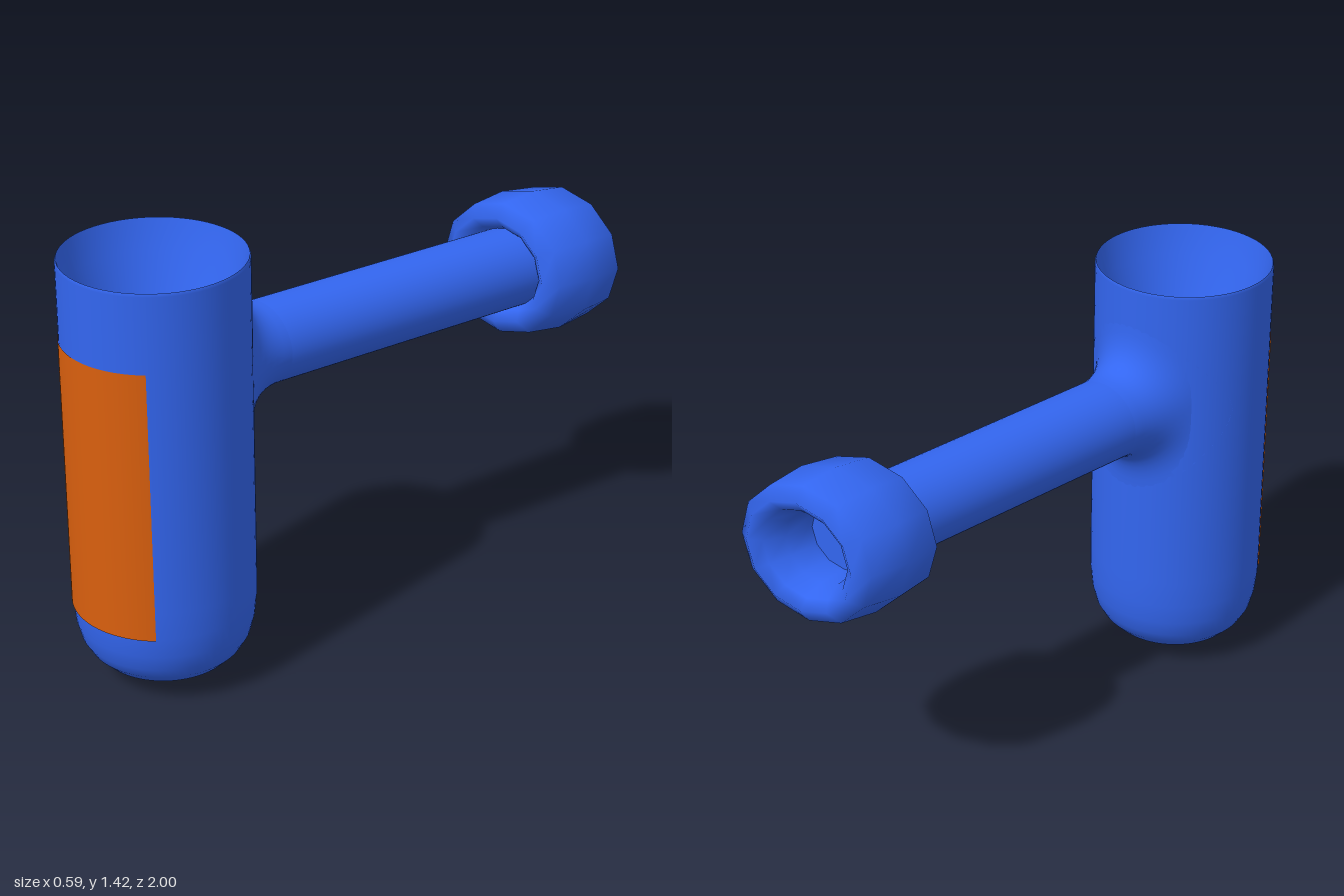
import * as THREE from 'three';
import { mergeVertices } from 'three/addons/utils/BufferGeometryUtils.js';

const BODY_Z = 0.708, BODY_R = 0.29;
const PIPE_X = -0.05, PIPE_Y = 1.0, PIPE_R = 0.135;

const blue = new THREE.MeshStandardMaterial({ color: 0x3366f0, side: THREE.DoubleSide });
const orange = new THREE.MeshStandardMaterial({ color: 0xd95f0e, side: THREE.DoubleSide });

const vectors = (pairs) => pairs.map(([x, y]) => new THREE.Vector2(x, y));

function addPart(group, name, geometry, material, x = 0, y = 0, z = 0) {
  const mesh = new THREE.Mesh(geometry, material);
  mesh.name = name;
  mesh.position.set(x, y, z);
  group.add(mesh);
  return mesh;
}

// Weld the vertices so that normals run smoothly across seams
function smooth(geometry) {
  geometry.deleteAttribute('uv');
  geometry.deleteAttribute('normal');
  const welded = mergeVertices(geometry, 1e-4);
  welded.computeVertexNormals();
  return welded;
}

// z of the pipe's slanted front end at a given x
const pipeFront = (x) => 0.29 - 0.15 * (x - PIPE_X);

// Flared collar blending the round pipe into the upright cylinder
function collarGeometry(around = 48, along = 10) {
  const positions = [], index = [];
  for (let i = 0; i < around; i++) {
    const a = (i / around) * Math.PI * 2, c = Math.cos(a), s = Math.sin(a);
    const onBody = (x) => BODY_Z - Math.sqrt(Math.max(0, BODY_R ** 2 - x * x));
    const px = PIPE_X + PIPE_R * c, py = PIPE_Y + PIPE_R * s;
    const bx = -0.04 + 0.245 * c, by = PIPE_Y + 0.29 * s;
    const curve = new THREE.QuadraticBezierCurve3(
      new THREE.Vector3(px, py, pipeFront(px)),
      new THREE.Vector3(px, py, onBody(px) - 0.005),
      new THREE.Vector3(bx, by, onBody(bx))
    );
    for (let j = 0; j <= along; j++) positions.push(...curve.getPoint(j / along).toArray());
  }
  const row = along + 1;
  for (let i = 0; i < around; i++) {
    for (let j = 0; j < along; j++) {
      const a = i * row + j, b = ((i + 1) % around) * row + j;
      index.push(a, a + 1, b, b, a + 1, b + 1);
    }
  }
  const geometry = new THREE.BufferGeometry();
  geometry.setAttribute('position', new THREE.Float32BufferAttribute(positions, 3));
  geometry.setIndex(index);
  geometry.computeVertexNormals();
  return geometry;
}

// Thick ring on the pipe's end, sheared so that it sits at a slant
function ringGeometry() {
  const profile = vectors([
    [0.185, -0.155], [0.23, -0.125], [0.245, 0], [0.23, 0.125], [0.185, 0.155],
    [0.15, 0.13], [0.12, 0.075], [0.11, 0], [0.12, -0.075], [0.15, -0.13], [0.185, -0.155],
  ]);
  const geometry = new THREE.LatheGeometry(profile, 12).rotateX(Math.PI / 2);
  const p = geometry.attributes.position;
  for (let i = 0; i < p.count; i++) p.setZ(i, p.getZ(i) - 0.257 * p.getX(i));
  return smooth(geometry);
}

// Pipe with its front end cut along the collar's slant
function pipeGeometry(back = -0.78) {
  const geometry = new THREE.CylinderGeometry(PIPE_R, PIPE_R, 1, 48).rotateX(Math.PI / 2);
  const p = geometry.attributes.position;
  for (let i = 0; i < p.count; i++) {
    const x = p.getX(i);
    p.setZ(i, p.getZ(i) > 0 ? pipeFront(x + PIPE_X) : back - 0.257 * x);
  }
  return geometry;
}

export function createModel() {
  const model = new THREE.Group();
  model.name = 'hammerShapedVessel';

  // Upright vessel: rounded base, straight wall
  const outer = vectors([
    [0, 0.003], [0.06, 0.012], [0.12, 0.026], [0.17, 0.045], [0.21, 0.07], [0.245, 0.105],
    [0.268, 0.145], [0.282, 0.2], [0.289, 0.27], [BODY_R, 0.36], [BODY_R, 1.41], [0.286, 1.42],
  ]);
  addPart(model, 'vesselBody', new THREE.LatheGeometry(outer, 64), blue, 0, 0, BODY_Z);

  // Funnel inside the mouth, ending in a small blind hole
  const funnel = vectors([[0.286, 1.42], [0.262, 1.32], [0.16, 1.02], [0.05, 0.8]]);
  addPart(model, 'vesselFunnel', new THREE.LatheGeometry(funnel, 64), blue, 0, 0, BODY_Z);
  const drain = new THREE.CylinderGeometry(0.05, 0.05, 0.1, 32, 1, true);
  addPart(model, 'funnelDrain', drain, blue, 0, 0.75, BODY_Z);
  const floor = new THREE.CircleGeometry(0.05, 32).rotateX(-Math.PI / 2);
  addPart(model, 'drainFloor', floor, blue, 0, 0.7, BODY_Z);

  // Curved panel on the front
  const half = Math.asin(0.23 / 0.292);
  const panel = new THREE.CylinderGeometry(0.292, 0.292, 0.9, 32, 1, true, -half, half * 2);
  addPart(model, 'frontPanel', panel, orange, 0, 0.715, BODY_Z);

  // Pipe to the rear, its collar and end ring
  addPart(model, 'pipeCollar', collarGeometry(), blue);
  addPart(model, 'pipe', pipeGeometry(), blue, PIPE_X, PIPE_Y, 0);
  addPart(model, 'endRing', ringGeometry(), blue, PIPE_X, PIPE_Y, -0.798);

  return model;
}
